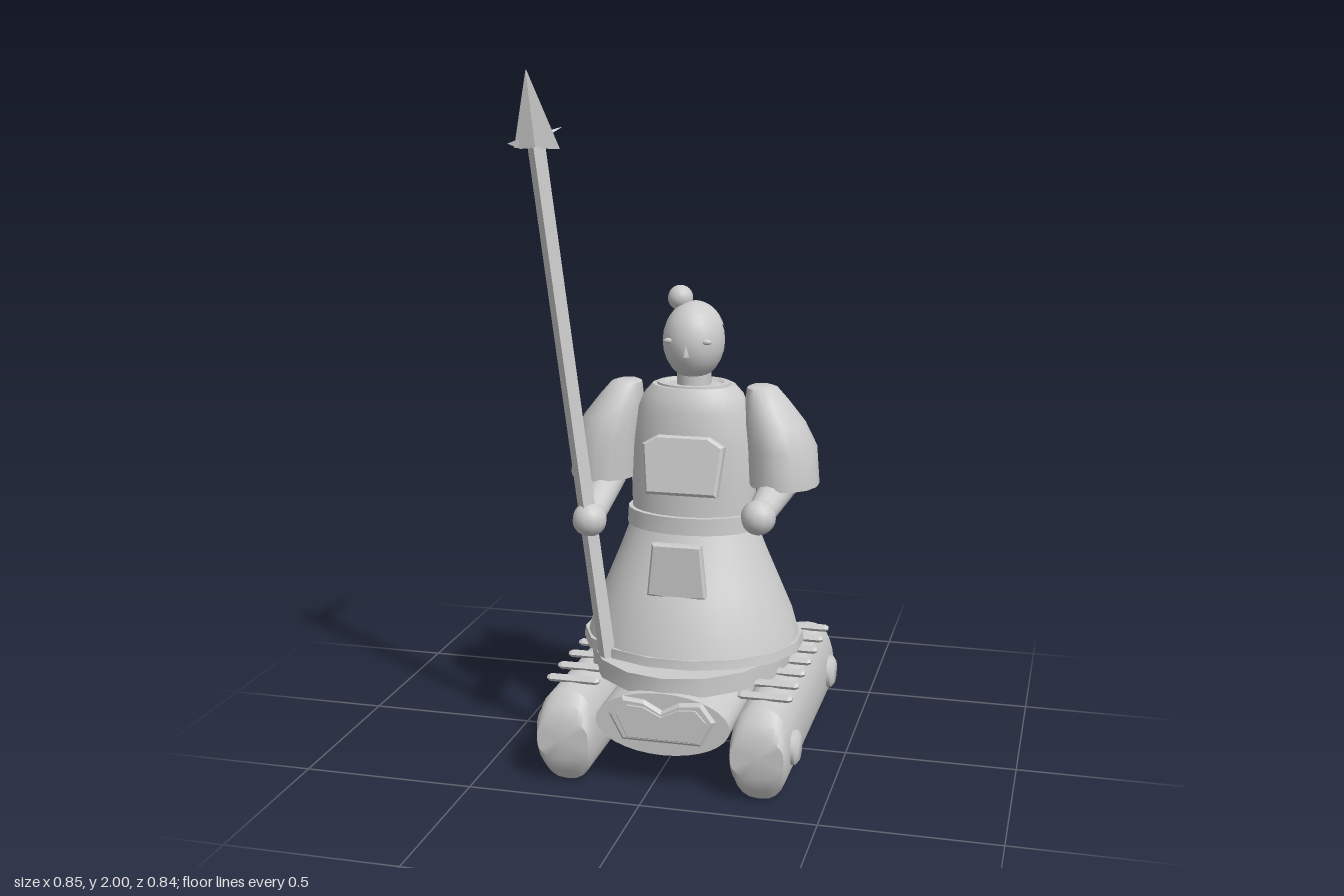
import * as THREE from 'three';
import { toCreasedNormals } from 'three/addons/utils/BufferGeometryUtils.js';

const CX = 0.033; // axis of the figure

// Loft of elliptical rings: each ring is [y, rx, rz, cx, cz]; power < 1 squares the outline
function loft(rings, { sides = 16, phase = 0, power = 1, crease = 0.7 } = {}) {
  const pos = [], index = [];
  const bend = (v) => Math.sign(v) * Math.abs(v) ** power;
  for (const [y, rx, rz, cx = 0, cz = 0] of rings) {
    for (let i = 0; i < sides; i++) {
      const a = ((i + phase) / sides) * Math.PI * 2;
      pos.push(cx + rx * bend(Math.sin(a)), y, cz + rz * bend(Math.cos(a)));
    }
  }
  for (let r = 0; r < rings.length - 1; r++) {
    for (let i = 0; i < sides; i++) {
      const a = r * sides + i, b = r * sides + (i + 1) % sides;
      index.push(a, b, b + sides, a, b + sides, a + sides);
    }
  }
  // Flat caps
  const last = rings.length - 1, base = rings.length * sides;
  for (const r of [0, last]) {
    const [y, , , cx = 0, cz = 0] = rings[r];
    pos.push(cx, y, cz);
  }
  for (let i = 0; i < sides; i++) {
    const j = (i + 1) % sides;
    index.push(base, j, i, base + 1, last * sides + i, last * sides + j);
  }
  const g = new THREE.BufferGeometry();
  g.setAttribute('position', new THREE.Float32BufferAttribute(pos, 3));
  g.setIndex(index);
  return toCreasedNormals(g, crease);
}

// Bevelled plate from an outline in x and y
function plate(points, depth, bevel) {
  const shape = new THREE.Shape(points.map(([x, y]) => new THREE.Vector2(x, y)));
  return new THREE.ExtrudeGeometry(shape, {
    depth, bevelEnabled: true, bevelSize: bevel, bevelThickness: bevel, bevelOffset: -bevel, bevelSegments: 1,
  });
}

// Turns a geometry built along y so that it runs between two points
function span(mesh, from, to) {
  const a = new THREE.Vector3(...from), b = new THREE.Vector3(...to);
  mesh.position.copy(a).add(b).multiplyScalar(0.5);
  mesh.quaternion.setFromUnitVectors(new THREE.Vector3(0, 1, 0), b.sub(a).normalize());
  return mesh;
}

export function createModel() {
  const grey = new THREE.MeshStandardMaterial({ color: 0xcccccc });
  grey.name = 'plain grey';
  const model = new THREE.Group();
  model.name = 'trackedSpearBearer';

  const add = (name, geometry, x = 0, y = 0, z = 0, parent = model) => {
    const mesh = new THREE.Mesh(geometry, grey);
    mesh.name = name;
    mesh.position.set(x, y, z);
    parent.add(mesh);
    return mesh;
  };
  const ball = (name, r, x, y, z, sx = 1, sy = 1, sz = 1, seg = 16) => {
    const m = add(name, new THREE.SphereGeometry(r, seg, 12), x, y, z);
    m.scale.set(sx, sy, sz);
    return m;
  };

  // Tracks with hubs and cross slats
  const trackGeo = loft([
    [-0.42, 0.076, 0.06], [-0.405, 0.08, 0.1], [-0.375, 0.0825, 0.135],
    [0.375, 0.0825, 0.135], [0.405, 0.08, 0.1], [0.42, 0.076, 0.06],
  ], { sides: 24, power: 0.8, crease: 0.6 }).rotateX(Math.PI / 2);
  const hubGeo = loft([[-0.03, 0.05, 0.05], [0.012, 0.05, 0.05], [0.022, 0.036, 0.036]], { sides: 16 });
  const slatGeo = loft([
    [-0.078, 0.006, 0.009], [-0.068, 0.011, 0.015], [0.068, 0.011, 0.015], [0.078, 0.006, 0.009],
  ], { sides: 6, crease: 0.3 }).rotateZ(Math.PI / 2);
  for (const side of [-1, 1]) {
    const track = new THREE.Group();
    track.name = side > 0 ? 'leftTrack' : 'rightTrack';
    track.position.x = CX + side * 0.281;
    model.add(track);
    add('trackBody', trackGeo, 0, 0.135, 0, track);
    for (const z of [-0.307, 0.307]) {
      add('wheelHub', hubGeo, side * 0.08, 0.135, z, track).rotation.z = -side * Math.PI / 2;
    }
    for (let i = -3; i <= 3; i++) add('trackSlat', slatGeo, 0, 0.276, i * 0.102, track);
  }

  // Chassis and its front plate with a notched top edge
  add('chassis', loft([[-0.375, 0.195, 0.092], [0.375, 0.195, 0.092]], { sides: 32 })
    .rotateX(Math.PI / 2), CX, 0.192, 0);
  add('frontPlate', plate([
    [-0.155, 0.215], [-0.115, 0.268], [-0.05, 0.262], [0, 0.235], [0.05, 0.262],
    [0.115, 0.268], [0.155, 0.215], [0.115, 0.14], [-0.115, 0.14],
  ], 0.018, 0.008), CX, 0, 0.362);
  add('chevronTrim', plate([
    [-0.13, 0.215], [-0.1, 0.248], [-0.05, 0.245], [0, 0.22], [0.05, 0.245],
    [0.1, 0.248], [0.13, 0.215], [0.1, 0.15], [-0.1, 0.15],
  ], 0.002, 0.002), CX, 0, 0.386);

  // Base disc, skirt and belt
  add('baseDisc', loft([[0.27, 0.295, 0.368], [0.325, 0.295, 0.368]]), CX);
  add('skirtHem', loft([[0.322, 0.331, 0.292], [0.352, 0.327, 0.288]], { phase: 0.5 }), CX);
  add('skirt', loft([
    [0.345, 0.318, 0.282], [0.42, 0.297, 0.262], [0.52, 0.255, 0.217], [0.61, 0.218, 0.17], [0.69, 0.188, 0.135],
  ], { phase: 0.5, sides: 32 }), CX);
  add('belt', loft([[0.68, 0.199, 0.145], [0.73, 0.196, 0.143]], { phase: 0.5, sides: 24 }), CX);

  // Torso, collar and neck
  add('torso', loft([
    [0.71, 0.183, 0.126], [0.82, 0.186, 0.126], [0.93, 0.18, 0.126],
    [1.03, 0.165, 0.123], [1.075, 0.145, 0.112], [1.1, 0.122, 0.098],
  ], { sides: 32 }), CX);
  add('collar', loft([[1.08, 0.112, 0.092], [1.106, 0.108, 0.088], [1.107, 0.09, 0.075], [1.1, 0.08, 0.065]],
    { sides: 24, crease: 0.5 }), CX);
  add('neck', new THREE.CylinderGeometry(0.05, 0.05, 0.08, 20), CX, 1.11, 0);

  // Chest plate and apron plate
  add('chestPlate', plate([
    [-0.12, 0.145], [-0.075, 0.172], [0.075, 0.172], [0.12, 0.145], [0.105, 0], [-0.105, 0],
  ], 0.03, 0.008), CX, 0.797, 0.135).rotation.x = -0.2;
  add('apronPlate', plate([[-0.072, 0.67], [0.072, 0.67], [0.087, 0.515], [0, 0.508], [-0.087, 0.515]], 0.018, 0.006),
    CX, 0, 0.193);

  // Head with hair cap, bun and face
  ball('head', 0.1, CX, 1.228, 0.003, 0.9, 1.13, 0.98, 24);
  const cap = add('hairCap', new THREE.SphereGeometry(0.102, 24, 8, 0, Math.PI * 2, 0, 1.15), CX, 1.228, 0.002);
  cap.scale.set(0.9, 1.13, 0.98);
  cap.rotation.x = -0.35;
  ball('hairBun', 0.037, -0.012, 1.347, -0.017);
  for (const side of [-1, 1]) ball('eye', 0.016, CX + side * 0.055, 1.236, 0.08, 1, 0.5, 0.5, 10);
  add('nose', new THREE.ConeGeometry(0.01, 0.035, 4), CX, 1.212, 0.102);

  // Puffed sleeves leaning in to the shoulders, with cuffs beneath
  for (const side of [-1, 1]) {
    const ring = (y, rx, rz, off) => [y, rx, rz, CX + side * off, 0];
    add(side > 0 ? 'leftSleeve' : 'rightSleeve', loft([
      ring(0.84, 0.085, 0.098, 0.27), ring(0.818, 0.102, 0.12, 0.27), ring(0.93, 0.1, 0.124, 0.263),
      ring(1.0, 0.086, 0.108, 0.242), ring(1.06, 0.063, 0.078, 0.218), ring(1.098, 0.045, 0.05, 0.203),
      ring(1.104, 0.03, 0.035, 0.2),
    ], { sides: 14, crease: 0.8 }));
    add('elbow', new THREE.SphereGeometry(0.055, 14, 10), CX + side * 0.258, 0.82, 0.01);
  }

  // Forearms and hands
  const arm = (name, from, to, r) => {
    const length = new THREE.Vector3(...from).distanceTo(new THREE.Vector3(...to));
    span(add(name + 'Forearm', new THREE.CylinderGeometry(0.038, 0.052, length, 14)), from, to);
    ball(name + 'Hand', r, ...to, 1, 1, 1, 12);
  };
  arm('left', [0.287, 0.81, 0.01], [0.27, 0.768, 0.21], 0.05);
  arm('right', [-0.225, 0.81, 0.01], [-0.218, 0.735, 0.23], 0.05);

  // Spear: four-sided pole, flat head and a spike to the rear
  const foot = [-0.17, 0.32, 0.225], top = [-0.352, 1.79, 0.25];
  const poleLength = new THREE.Vector3(...foot).distanceTo(new THREE.Vector3(...top));
  span(add('spearPole', loft([[-poleLength / 2, 0.026, 0.026], [poleLength / 2, 0.026, 0.026]],
    { sides: 4, crease: 0.1 })), foot, top);
  add('spearHead', loft([
    [1.785, 0.066, 0.014, -0.35, 0.252], [1.997, 0.001, 0.001, -0.377, 0.255],
  ], { sides: 4, crease: 0.1 }));
  add('spearSpike', loft([
    [-0.255, 0.04, 0.015, -0.362, -1.83], [0, 0.001, 0.001, -0.395, -1.797],
  ], { sides: 4, crease: 0.1 }).rotateX(-Math.PI / 2).scale(1, -1, 1).translate(0, 0, 0)).name = 'spearSpike';
  // Spike geometry is laid along z with outward faces
  const spike = model.getObjectByName('spearSpike');
  spike.geometry.dispose();
  spike.geometry = loft([[-0.255, 0.04, 0.015, -0.362, 1.83], [0, 0.001, 0.001, -0.395, 1.797]],
    { sides: 4, crease: 0.1 }).rotateX(-Math.PI / 2);
  spike.geometry.rotateZ(0);
  spike.geometry.translate(0, 0, 0);
  // Mirror in y through a half turn about z keeps the face order
  spike.geometry.rotateZ(Math.PI).translate(-0.757, 3.627, 0);

  return model;
}
